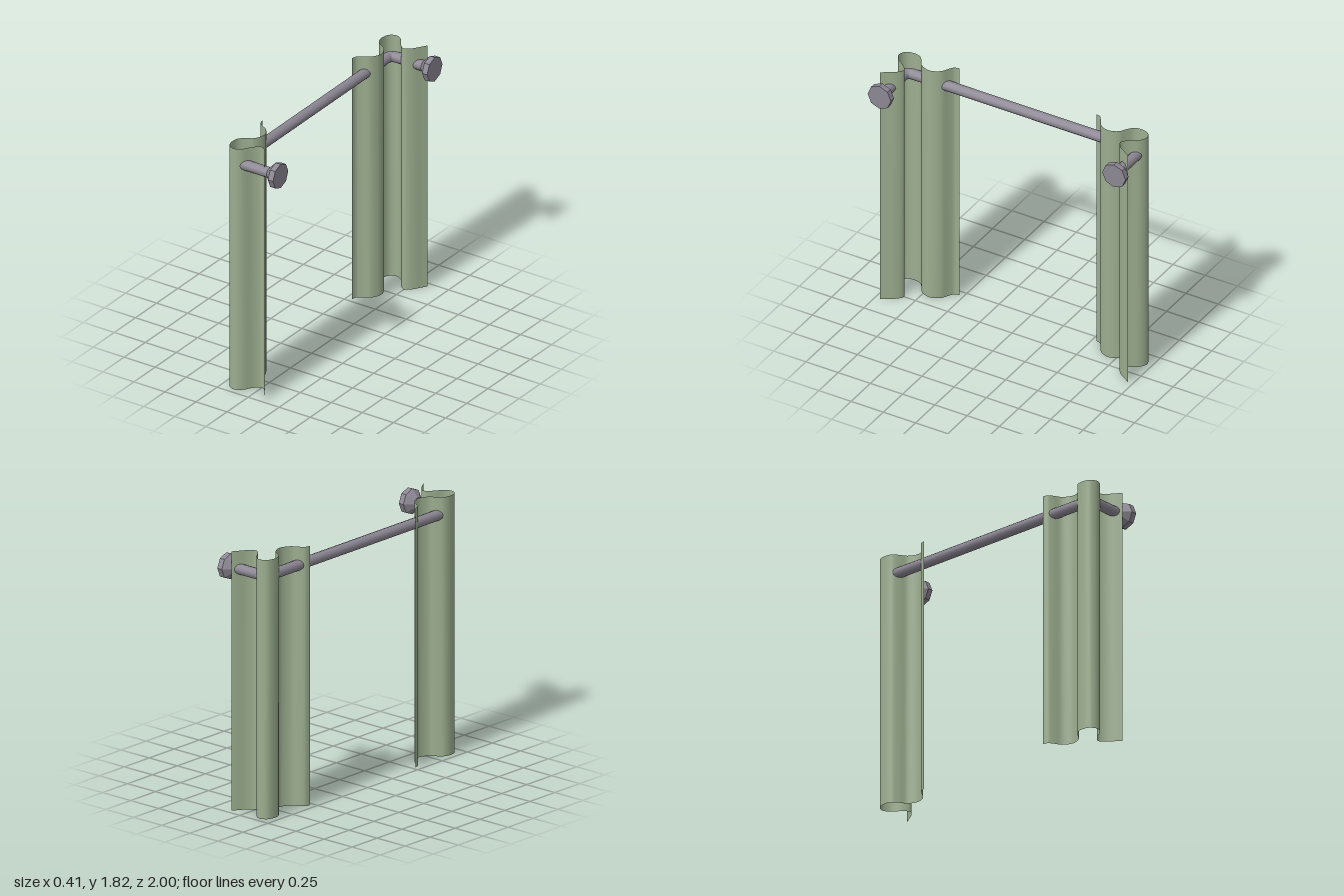
import * as THREE from 'three';

const metal = new THREE.MeshStandardMaterial({ color: 0x8c8793 });
metal.name = 'greyMetal';
const cloth = new THREE.MeshStandardMaterial({ color: 0x9cae8f, side: THREE.DoubleSide });
cloth.name = 'greenCloth';

const ROD_Y = 1.69, ROD_R = 0.037, ROD_X = -0.155, ROD_Z = 0.91, BEND = 0.055;
const HEIGHT = 1.82;

// U-shaped rod with rounded corners
function makeRod() {
  const v = (x, z) => new THREE.Vector3(x, ROD_Y, z);
  const path = new THREE.CurvePath();
  path.add(new THREE.LineCurve3(v(0.13, ROD_Z), v(ROD_X + BEND, ROD_Z)));
  path.add(new THREE.QuadraticBezierCurve3(v(ROD_X + BEND, ROD_Z), v(ROD_X, ROD_Z), v(ROD_X, ROD_Z - BEND)));
  path.add(new THREE.LineCurve3(v(ROD_X, ROD_Z - BEND), v(ROD_X, BEND - ROD_Z)));
  path.add(new THREE.QuadraticBezierCurve3(v(ROD_X, BEND - ROD_Z), v(ROD_X, -ROD_Z), v(ROD_X + BEND, -ROD_Z)));
  path.add(new THREE.LineCurve3(v(ROD_X + BEND, -ROD_Z), v(0.13, -ROD_Z)));
  const rod = new THREE.Mesh(new THREE.TubeGeometry(path, 90, ROD_R, 12), metal);
  rod.name = 'curtainRod';
  return rod;
}

// Eight-sided flared wall mount, turned to point along +x
function makeMount(side) {
  const profile = [[ROD_R, 0.11], [0.09, 0.16], [0.09, 0.2], [0, 0.2]].map(p => new THREE.Vector2(...p));
  const geo = new THREE.LatheGeometry(profile, 8).toNonIndexed();
  geo.computeVertexNormals();
  geo.rotateZ(-Math.PI / 2);
  geo.translate(0, ROD_Y, side * ROD_Z);
  const mount = new THREE.Mesh(geo, metal);
  mount.name = side > 0 ? 'frontWallMount' : 'backWallMount';
  return mount;
}

// Wavy sheet weaving in and out around the rod corner
function makeCurtain(side) {
  const plan = new THREE.CatmullRomCurve3([
    [0.107, 0.962], [0.085, 0.93], [0.045, 0.87], [0, 0.838], [-0.045, 0.87],
    [-0.095, 0.94], [-0.145, 0.963], [-0.192, 0.938], [-0.207, 0.88], [-0.195, 0.83],
    [-0.155, 0.795], [-0.11, 0.765], [-0.082, 0.69], [-0.115, 0.62], [-0.165, 0.59],
    [-0.197, 0.565], [-0.207, 0.53],
  ].map(([x, z]) => new THREE.Vector3(x, 0, z)));
  const geo = new THREE.PlaneGeometry(1, HEIGHT, 64, 1);
  const pos = geo.attributes.position;
  for (let i = 0; i < pos.count; i++) {
    const p = plan.getPoint(pos.getX(i) + 0.5);
    pos.setXYZ(i, p.x, pos.getY(i) + HEIGHT / 2, side * p.z);
  }
  geo.computeVertexNormals();
  const curtain = new THREE.Mesh(geo, cloth);
  curtain.name = side > 0 ? 'frontCurtain' : 'backCurtain';
  return curtain;
}

export function createModel() {
  const model = new THREE.Group();
  model.name = 'curtainsOnRod';
  model.add(makeRod());
  for (const side of [1, -1]) model.add(makeMount(side), makeCurtain(side));
  return model;
}
